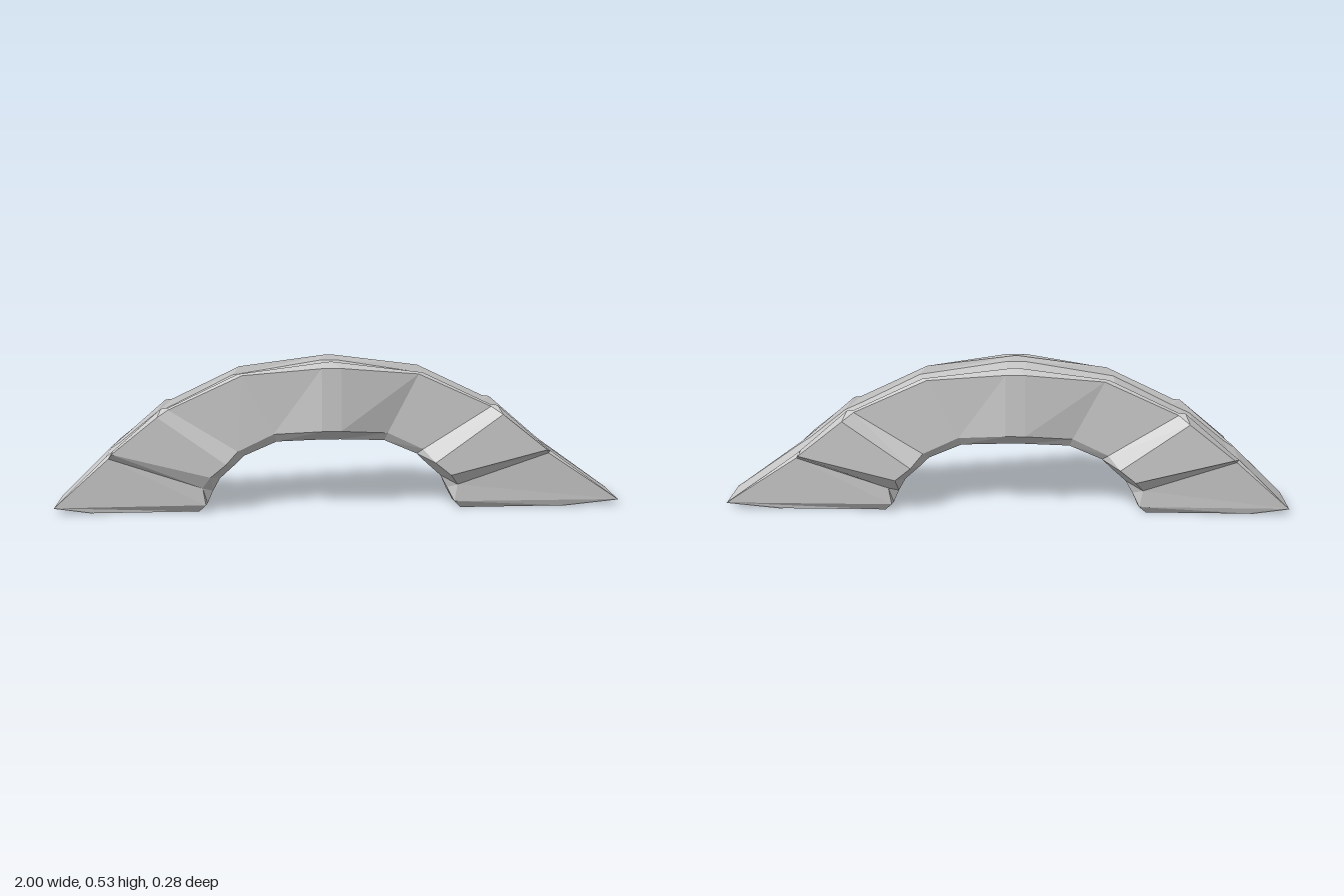
import * as THREE from 'three';

const DECK = 0.074, RIM = 0.079, NARROW = 0.0925, WIDE = 0.134, MID = -0.007;

// Stations from the foot up to the crown. Each lists x, y of:
// deck edge, rim, shoulder, lower side edge, soffit edge; then shoulder and lower half widths.
const HALF = [
  { p: [0.8, 0, 0.8, 0, 0.8, 0, 0.43, 0, 0.43, 0], s: DECK, l: DECK },
  { p: [1, 0.02, 1, 0.02, 1, 0.021, 0.405, 0.028, 0.4, 0.03], s: 0.077, l: NARROW },
  { p: [0.75, 0.197, 0.745, 0.205, 0.735, 0.2, 0.415, 0.09, 0.38, 0.075], s: NARROW, l: NARROW },
  { p: [0.715, 0.22, 0.72, 0.225, 0.72, 0.222, 0.385, 0.135, 0.355, 0.12], s: WIDE, l: WIDE },
  { p: [0.585, 0.325, 0.55, 0.372, 0.56, 0.35, 0.33, 0.18, 0.3, 0.17], s: WIDE, l: WIDE },
  { p: [0.52, 0.355, 0.525, 0.375, 0.525, 0.37, 0.29, 0.22, 0.27, 0.2], s: NARROW, l: NARROW },
  { p: [0.31, 0.46, 0.285, 0.49, 0.27, 0.487, 0.165, 0.28, 0.155, 0.25], s: NARROW, l: NARROW },
  { p: [0, 0.51, -0.025, 0.53, 0, 0.518, 0, 0.3, 0, 0.255], s: 0.137, l: 0.137, mid: 0.002 },
];

// Closed ring of corners: down the front side, then up the back side.
function ring({ p, s, l, mid = MID }, left) {
  const shrink = left && s === WIDE ? 0.008 : 0;
  const widths = [DECK, RIM, s - shrink, l - shrink, DECK];
  const centres = [MID, MID, mid - shrink, mid - shrink, MID];
  const side = (sign) => widths.map((w, k) => new THREE.Vector3(
    left ? Math.max(-1, -0.066 - p[2 * k]) : p[2 * k],
    p[2 * k + 1],
    centres[k] + sign * w,
  ));
  return [...side(1), ...side(-1).reverse()];
}

// Skin a row of rings and close both ends.
function loft(rings) {
  const out = [];
  const tri = (a, b, c) => {
    const area = b.clone().sub(a).cross(c.clone().sub(a)).length();
    if (area > 1e-9) for (const v of [a, b, c]) out.push(v.x, v.y, v.z);
  };
  const n = rings[0].length;
  for (let i = 0; i < rings.length - 1; i++) {
    for (let k = 0; k < n; k++) {
      const j = (k + 1) % n;
      const a = rings[i][k], b = rings[i + 1][k], c = rings[i + 1][j], d = rings[i][j];
      tri(a, b, c);
      tri(a, c, d);
    }
  }
  const first = rings[0], last = rings[rings.length - 1];
  for (let k = 1; k < n - 1; k++) {
    tri(first[0], first[k], first[k + 1]);
    tri(last[0], last[k + 1], last[k]);
  }
  const geometry = new THREE.BufferGeometry();
  geometry.setAttribute('position', new THREE.Float32BufferAttribute(out, 3));
  geometry.computeVertexNormals();
  return geometry;
}

export function createModel() {
  const group = new THREE.Group();
  group.name = 'archBridge';
  const material = new THREE.MeshStandardMaterial({ color: 0xcccccc, flatShading: true });

  // One continuous arch, from the left foot over the crown to the right foot
  const rings = [
    ...HALF.map((station) => ring(station, false)),
    ...[...HALF].reverse().map((station) => ring(station, true)),
  ];
  const arch = new THREE.Mesh(loft(rings), material);
  arch.name = 'archSpan';
  group.add(arch);
  return group;
}
